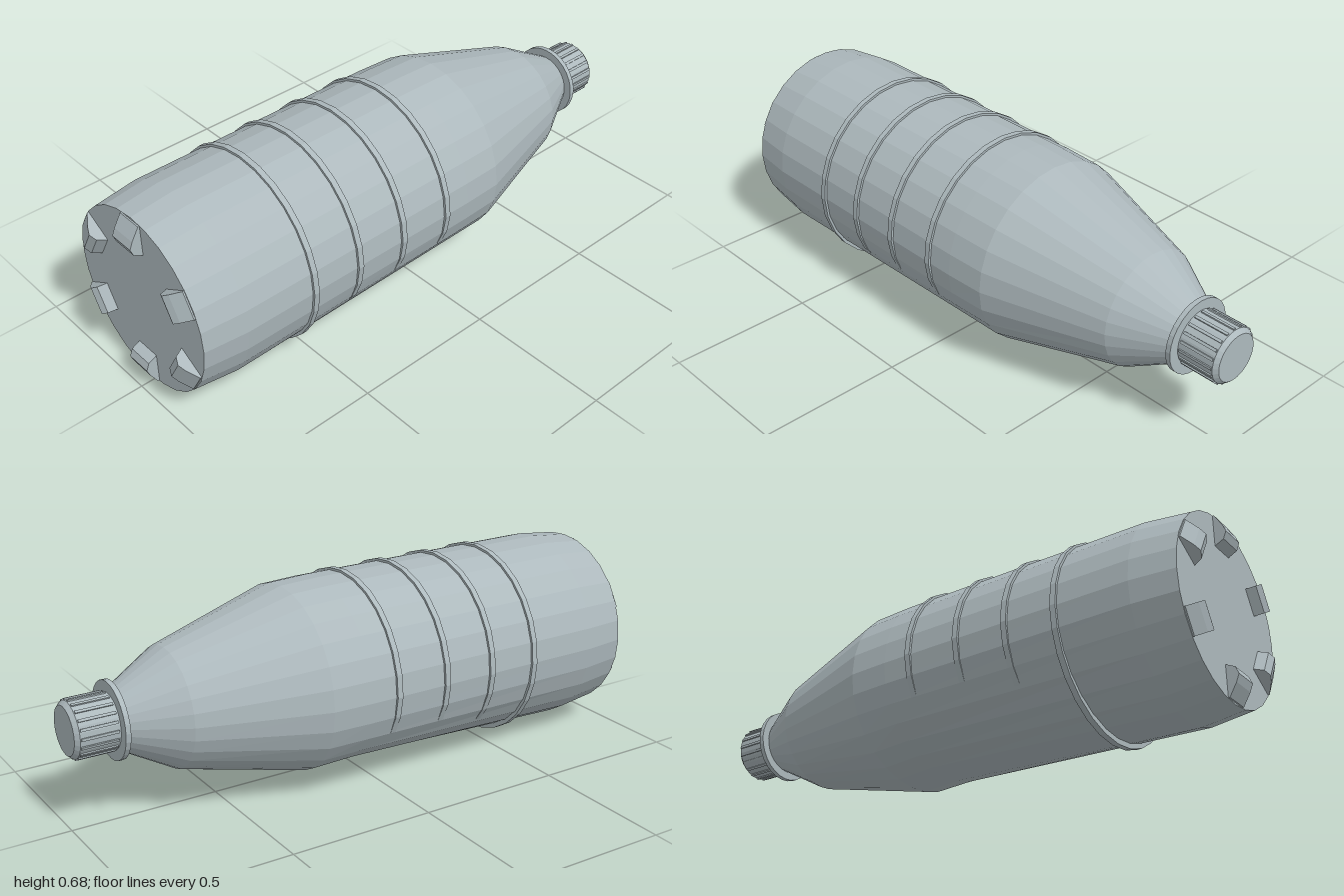
import * as THREE from 'three';

const CY = 0.338; // height of the bottle axis
const SIDES = 28;

const lerpTable = (table, x) => {
  for (let i = 1; i < table.length; i++) {
    const [x0, v0] = table[i - 1], [x1, v1] = table[i];
    if (x >= x0 && x <= x1) return v0 + (v1 - v0) * (x - x0) / (x1 - x0);
  }
  return 0;
};

// How far the underside is pressed in along the bottle
const DENT = [[-0.81, 0], [0.1, 0.042], [0.24, 0.027], [0.66, 0]];

// Lathe around the x axis from [x, radius] pairs
function latheX(profile, sides = SIDES) {
  const g = new THREE.LatheGeometry(profile.map(([x, r]) => new THREE.Vector2(r, x)), sides);
  return g.rotateZ(-Math.PI / 2);
}

// Lift the lower half; sink pulls a band below the body surface
function pressUnderside(g, sink = 0) {
  const p = g.attributes.position;
  for (let i = 0; i < p.count; i++) {
    const r = Math.hypot(p.getY(i), p.getZ(i));
    if (r < 0.01) continue;
    const s = Math.max(0, -p.getY(i) / r);
    const k = 1 - sink * s / r;
    p.setZ(i, p.getZ(i) * k);
    p.setY(i, p.getY(i) * k + lerpTable(DENT, p.getX(i)) * s * s);
  }
  return g;
}

export function createModel() {
  const grey = new THREE.MeshStandardMaterial({ color: 0xadb9bd, flatShading: true });
  grey.name = 'pale grey';
  const bottle = new THREE.Group();
  bottle.name = 'bottle';
  const add = (name, geometry, parent = bottle) => {
    const m = new THREE.Mesh(geometry, grey);
    m.name = name;
    parent.add(m);
    return m;
  };

  // Body with flat base, shoulder and neck
  add('body', pressUnderside(latheX([
    [-0.96, 0], [-0.96, 0.313], [-0.81, 0.33], [0.1, 0.33],
    [0.24, 0.325], [0.66, 0.2], [0.845, 0.095], [0.845, 0],
  ])));

  // Raised bands
  [[-0.555, 0], [-0.375, 0.014], [-0.19, 0.018], [0, 0.018]].forEach(([x, sink], i) => {
    const w = 0.01;
    const band = latheX([[x - w, 0.32], [x - w, 0.338], [x + w, 0.338], [x + w, 0.32]]);
    add('band' + (i + 1), i ? pressUnderside(band, sink) : band);
  });

  // Feet around the base
  const footShape = new THREE.Shape([
    [-0.95, 0.307], [-0.965, 0.307], [-0.99, 0.265], [-1, 0.24], [-0.99, 0.215], [-0.95, 0.195],
  ].map(([x, y]) => new THREE.Vector2(x, y)));
  const footGeo = new THREE.ExtrudeGeometry(footShape, { depth: 0.09, bevelEnabled: false });
  footGeo.translate(0, 0, -0.045);
  for (let i = 0; i < 6; i++) {
    add('foot', footGeo).rotation.x = i * Math.PI / 3;
  }

  // Neck collar
  add('collar', latheX([[0.838, 0], [0.838, 0.128], [0.855, 0.128], [0.855, 0]]));

  // Ribbed cap
  const cap = new THREE.Group();
  cap.name = 'cap';
  bottle.add(cap);
  add('capShell', latheX([[0.85, 0], [0.85, 0.093], [0.986, 0.093], [1, 0.08], [1, 0]]), cap);
  const ribGeo = new THREE.BoxGeometry(0.122, 0.01, 0.009).translate(0.922, 0.092, 0);
  for (let i = 0; i < 20; i++) {
    add('capRib', ribGeo, cap).rotation.x = i * Math.PI / 10;
  }

  bottle.children.forEach((c) => { c.position.y = CY; });
  const model = new THREE.Group();
  model.name = 'model';
  model.add(bottle);
  return model;
}
